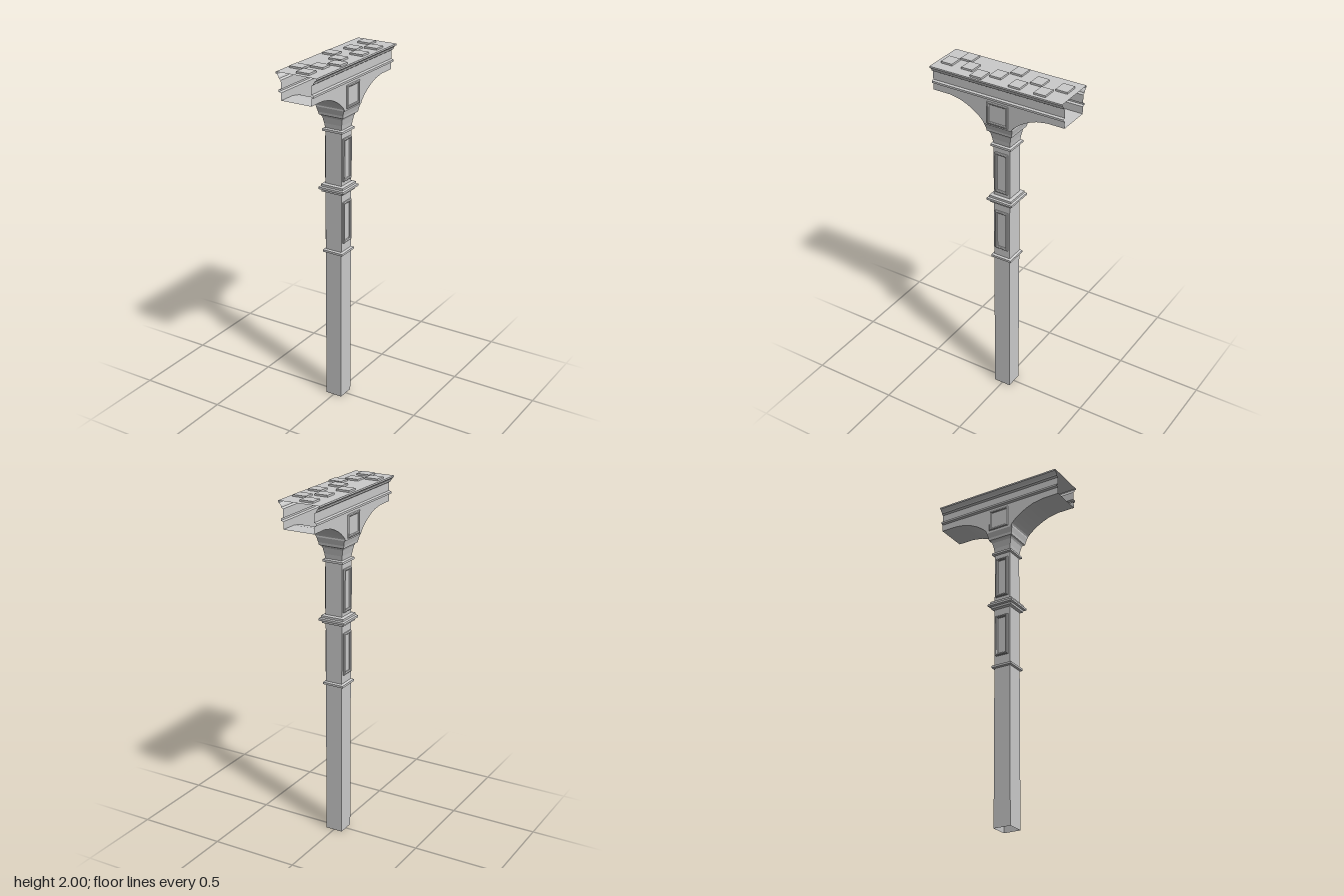
import * as THREE from 'three';

const material = new THREE.MeshStandardMaterial({ color: 0xcccccc, flatShading: true, side: THREE.DoubleSide });

function add(parent, name, geometry) {
  const mesh = new THREE.Mesh(geometry, material);
  mesh.name = name;
  parent.add(mesh);
  return mesh;
}

// Square turned part: profile of [half width, y] from bottom to top
function squareLathe(profile) {
  const points = profile.map(([r, y]) => new THREE.Vector2(r * Math.SQRT2, y));
  return new THREE.LatheGeometry(points, 4, Math.PI / 4);
}

// Open sheet: profile of [x, y] swept along z, facing right of its direction
function sheet(profile, half) {
  const pos = [];
  for (let i = 0; i < profile.length - 1; i++) {
    const [x0, y0] = profile[i], [x1, y1] = profile[i + 1];
    const a = [x0, y0, -half], b = [x0, y0, half], c = [x1, y1, half], d = [x1, y1, -half];
    pos.push(...a, ...d, ...c, ...a, ...c, ...b);
  }
  const g = new THREE.BufferGeometry();
  g.setAttribute('position', new THREE.Float32BufferAttribute(pos, 3));
  g.computeVertexNormals();
  return g;
}

function rectangle(Type, w, h) {
  return new Type([[-w, -h], [w, -h], [w, h], [-w, h]].map(([x, y]) => new THREE.Vector2(x, y)));
}

// Bevelled moulding frame, half sizes w and h, lying in xy and standing out in z
function frame(w, h, band, depth) {
  const bevel = 0.004;
  const shape = rectangle(THREE.Shape, w - bevel, h - bevel);
  shape.holes.push(rectangle(THREE.Path, w - band + bevel, h - band + bevel));
  return new THREE.ExtrudeGeometry(shape, {
    depth: depth - bevel, bevelEnabled: true, bevelThickness: bevel, bevelSize: bevel, bevelSegments: 1,
  });
}

export function createModel() {
  const model = new THREE.Group();
  model.name = 'bracketedColumn';

  // Column shaft, hollow and open below
  add(model, 'shaft', squareLathe([[0.05, 0], [0.05, 1.61]]));

  // Rings around the shaft
  for (const y of [0.895, 1.595]) {
    add(model, 'ring', squareLathe([
      [0.05, y], [0.062, y + 0.003], [0.062, y + 0.015], [0.05, y + 0.02]]));
  }
  add(model, 'middleRing', squareLathe([
    [0.05, 1.25], [0.065, 1.255], [0.066, 1.267], [0.078, 1.27],
    [0.078, 1.282], [0.068, 1.286], [0.068, 1.298], [0.05, 1.302]]));

  // Flared capital
  add(model, 'capital', squareLathe([
    [0.05, 1.61], [0.054, 1.64], [0.061, 1.675], [0.066, 1.685],
    [0.075, 1.69], [0.077, 1.705], [0.085, 1.735], [0.085, 1.745]]));

  // Arched underside of the bracket, one half per direction
  const arch = [[0.08, 1.735], [0.09, 1.751], [0.105, 1.766], [0.127, 1.784], [0.155, 1.802],
    [0.19, 1.82], [0.23, 1.835], [0.29, 1.845], [0.39, 1.845]];
  for (const side of [1, -1]) {
    add(model, 'archUnderside', sheet(arch, 0.09)).rotation.y = -side * Math.PI / 2;
  }

  // Beam: walls, mouldings and roof as one thin shell, open at both ends
  const wall = [[0.09, 1.845], [0.09, 1.885], [0.104, 1.889], [0.104, 1.9], [0.09, 1.904],
    [0.09, 1.95], [0.101, 1.957], [0.103, 1.965], [0.114, 1.979], [0.12, 1.981], [0.12, 1.99]];
  const mirrored = wall.map(([x, y]) => [-x, y]).reverse();
  add(model, 'beamShell', sheet([...wall, ...mirrored], 0.39));

  // Bracket walls and moulded panels on the two long sides
  const outline = [...arch, ...arch.map(([z, y]) => [-z, y]).reverse()];
  for (const side of [1, -1]) {
    const turn = side * Math.PI / 2;
    const shape = new THREE.Shape(outline.map(([z, y]) => new THREE.Vector2(z, y)));
    const bracket = add(model, 'bracketWall', new THREE.ShapeGeometry(shape));
    bracket.position.x = side * 0.09;
    bracket.rotation.y = turn;

    const bracketFrame = add(model, 'bracketPanelFrame', frame(0.063, 0.063, 0.014, 0.006));
    bracketFrame.position.set(side * 0.09, 1.807, 0);
    bracketFrame.rotation.y = turn;

    for (const y of [1.085, 1.445]) {
      const shaftFrame = add(model, 'shaftPanelFrame', frame(0.039, 0.12, 0.012, 0.012));
      shaftFrame.position.set(side * 0.05, y, 0);
      shaftFrame.rotation.y = turn;
    }
  }

  // Loose slabs on the roof
  const slabs = [[-0.025, -0.323], [0.062, -0.25], [-0.023, -0.179], [0.062, -0.104], [-0.065, -0.038],
    [0.02, 0.033], [0.07, 0.117], [0.02, 0.203], [-0.065, 0.263], [0.02, 0.327]];
  for (const [x, z] of slabs) {
    add(model, 'roofSlab', new THREE.BoxGeometry(0.077, 0.01, 0.067)).position.set(x, 1.995, z);
  }
  return model;
}
